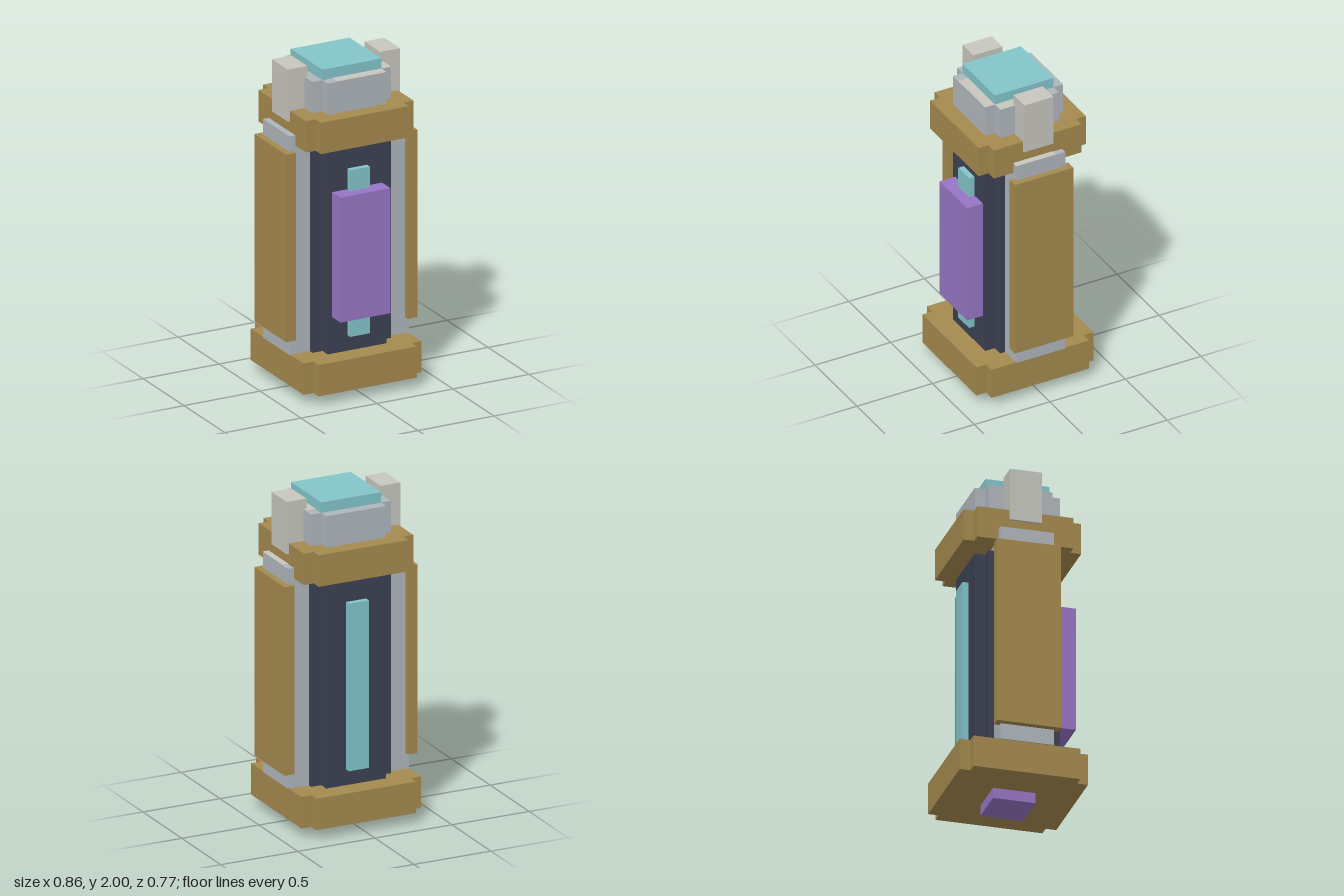
import * as THREE from 'three';

const U = 2 / 31; // block unit: the model is 31 units tall

const mat = (name, color) => {
  const m = new THREE.MeshStandardMaterial({ color });
  m.name = name;
  return m;
};

export function createModel() {
  const model = new THREE.Group();
  model.name = 'canister';

  const brass = mat('brass', 0xa4894e);
  const silver = mat('silver', 0xaeb5bb);
  const paleGrey = mat('paleGrey', 0xc6c5be);
  const navy = mat('navy', 0x3c4052);
  const teal = mat('teal', 0x82c4c9);
  const purple = mat('purple', 0x9775c3);

  const add = (name, geometry, material) => {
    geometry.scale(U, U, U);
    const mesh = new THREE.Mesh(geometry, material);
    mesh.name = name;
    model.add(mesh);
  };

  // Box given by its extents in units
  const box = (name, material, [x0, x1], [y0, y1], [z0, z1]) => {
    const g = new THREE.BoxGeometry(x1 - x0, y1 - y0, z1 - z0);
    g.translate((x0 + x1) / 2, (y0 + y1) / 2, (z0 + z1) / 2);
    add(name, g, material);
  };

  // Square block with notched corners: half width a, one-unit notch
  const notched = (name, material, a, y0, y1) => {
    const b = a - 1;
    const shape = new THREE.Shape([
      [a, -b], [a, b], [b, b], [b, a], [-b, a], [-b, b],
      [-a, b], [-a, -b], [-b, -b], [-b, -a], [b, -a], [b, -b],
    ].map(([x, y]) => new THREE.Vector2(x, y)));
    const g = new THREE.ExtrudeGeometry(shape, { depth: y1 - y0, bevelEnabled: false });
    g.rotateX(-Math.PI / 2);
    g.translate(0, y0, 0);
    add(name, g, material);
  };

  // Central stack, bottom to top
  box('foot', purple, [-2, 2], [0, 1], [-2, 2]);
  notched('baseCollar', brass, 6, 1, 4);
  notched('core', navy, 4, 4, 23.5);
  notched('topCollar', brass, 5.5, 24, 27);
  notched('neck', silver, 4, 27, 30);
  box('cap', teal, [-3, 3], [30, 31], [-3, 3]);

  // Light strips on front and back, and the front cell
  for (const [name, z] of [['frontStrip', [3.8, 4.55]], ['backStrip', [-4.55, -3.8]]]) {
    box(name, teal, [-1, 1], [5.5, 21.5], z);
  }
  box('frontCell', purple, [-2.55, 2.55], [7.5, 19.5], [3.9, 5.6]);

  // Side rails, panels and prongs
  for (const [side, s] of [['left', 1], ['right', -1]]) {
    const span = (a, b) => (s > 0 ? [a, b] : [-b, -a]);
    box(side + 'Rail', silver, span(3.1, 6.1), [4, 25], [-2.5, 2.5]);
    box(side + 'Panel', brass, span(5.7, 6.7), [5.5, 23.5], [-3, 3]);
    box(side + 'Prong', paleGrey, span(3.72, 5.72), [26, 31], [-1.5, 1.5]);
  }

  // Pale inlays on the neck and left rail
  box('neckSideInlay', paleGrey, [3, 4], [30, 30.05], [-2, 3]);
  box('neckFrontInlay', paleGrey, [-2, 3], [30, 30.05], [3, 4]);
  box('railInlay', paleGrey, [5.5, 6.1], [25, 25.05], [-1.5, 2.5]);

  return model;
}
